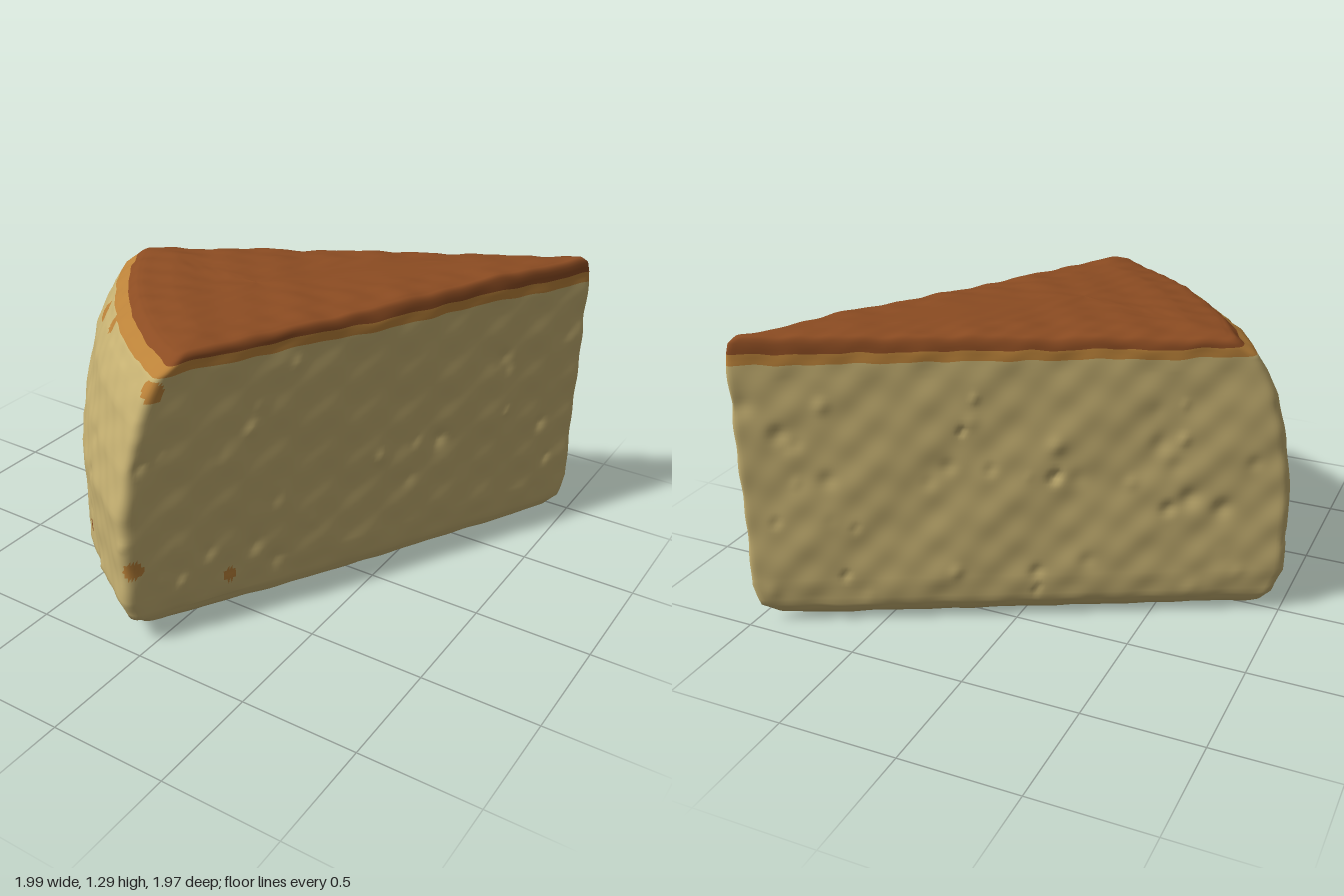
import * as THREE from 'three';

const COLS = 420;
const TIP = new THREE.Vector2(1.0, -1.0);
const LEFT = new THREE.Vector2(-1.02, 0);
const FRONT = new THREE.Vector2(-0.07, 0.99);
const CENTRE = new THREE.Vector2(-0.07, 0.05);

// Rounded wedge in plan (x, z): curved outer crust, two straight cut sides
function wedgeOutline() {
  const bulge = new THREE.Vector2(-0.69, 0.62);
  const near = (a, b, d) => a.clone().add(b.clone().sub(a).setLength(d));
  const path = new THREE.Path();
  const line = p => path.lineTo(p.x, p.y);
  const curve = (c, p) => path.quadraticCurveTo(c.x, c.y, p.x, p.y);
  const start = near(LEFT, bulge, 0.05);
  path.moveTo(start.x, start.y);
  curve(bulge, near(FRONT, bulge, 0.05));
  curve(FRONT, near(FRONT, TIP, 0.05));
  line(near(TIP, FRONT, 0.06));
  curve(TIP, near(TIP, LEFT, 0.06));
  line(near(LEFT, TIP, 0.05));
  curve(LEFT, start);
  return path.getSpacedPoints(COLS).slice(0, COLS);
}

// Profile keys: height, crust lean towards the tip, shrink to the centre, steps to next key
const PROFILE = [
  [0.015, 0.03, 1.0, 16], [0.022, 0.03, 0.3, 8], [0.03, 0.03, 0.13, 3], [0.055, 0.03, 0.065, 3],
  [0.1, 0.025, 0.02, 4], [0.2, 0, 0, 20], [0.6, 0, 0, 10], [0.8, 0.03, 0, 10], [1.0, 0.08, 0, 5],
  [1.1, 0.125, 0, 5], [1.175, 0.165, 0, 3], [1.215, 0.22, 0.003, 2], [1.24, 0.235, 0.012, 2],
  [1.257, 0.24, 0.035, 3], [1.265, 0.24, 0.1, 6], [1.275, 0.24, 0.35, 8], [1.28, 0.24, 1.0, 0],
];

function profileRows() {
  const rows = [];
  PROFILE.forEach((key, k) => {
    const next = PROFILE[k + 1];
    for (let i = 0; i < Math.max(key[3], 1); i++) {
      const t = next ? i / key[3] : 0;
      rows.push([0, 1, 2].map(j => (next ? THREE.MathUtils.lerp(key[j], next[j], t) : key[j])));
    }
  });
  return rows;
}

function seeded(seed) {
  return () => (seed = (seed * 16807) % 2147483647) / 2147483647;
}

// Soft lumpy variation
const lumps = (x, y, z) =>
  0.4 * Math.sin(7 * x + 5 * y + 2) * Math.sin(8 * z - 6 * y) +
  0.35 * Math.sin(17 * x - 13 * y) * Math.sin(15 * z + 19 * y + 1) +
  0.25 * Math.sin(31 * y + 23 * x - 11 * z) * Math.sin(29 * z + 27 * x);

// Baked spots and drips: x, y, z, radius, part
const SPOTS = [
  [-0.5, 0.28, 0.67, 0.032, 'top'],
  [-0.68, 1.1, 0.3, 0.045, 'rim'],
  [-0.49, 1.14, 0.47, 0.04, 'rim'],
  [0.0, 1.12, 0.84, 0.045, 'rim'],
  [-0.05, 0.37, 0.95, 0.042, 'rim'],
  [0.15, 0.22, 0.58, 0.03, 'rim'],
  [-0.16, 0.03, 0.68, 0.035, 'rim'],
];

export function createModel() {
  const outline = wedgeOutline();
  const rows = profileRows();
  const normals = outline.map((p, i) => {
    const a = outline[(i + COLS - 1) % COLS], b = outline[(i + 1) % COLS];
    return new THREE.Vector2(-(b.y - a.y), b.x - a.x).normalize();
  });

  // Small dents and crumbs on the walls
  const rand = seeded(71);
  const dents = Array.from({ length: 90 }, () => {
    const p = outline[Math.floor(rand() * COLS)];
    return { x: p.x, y: 0.12 + rand() * 1.0, z: p.y, r: 0.02 + rand() * 0.04, d: (rand() - 0.6) * 0.025 };
  });

  // Stack the wedge sections from the underside to the middle of the top
  const pos = [];
  rows.forEach(([y, lean, shrink]) => {
    const wall = THREE.MathUtils.smoothstep(y, 0.03, 0.15) * (1 - THREE.MathUtils.smoothstep(y, 1.2, 1.25));
    outline.forEach((p, i) => {
      const q = p.clone().sub(TIP).multiplyScalar(1 - lean / 2.2).add(TIP).lerp(CENTRE, shrink);
      let push = 0.009 * lumps(q.x, y, q.y);
      for (const d of dents) {
        const s = ((q.x - d.x) ** 2 + (y - d.y) ** 2 + (q.y - d.z) ** 2) / (d.r * d.r);
        if (s < 4) push += d.d * Math.exp(-2 * s);
      }
      q.addScaledVector(normals[i], -push * wall * -1);
      let h = y;
      if (y > 1.13) {
        h += 0.012 * lumps(q.x * 1.3, 0.4, q.y * 1.3);
        h += 0.016 * (q.x - q.y) * THREE.MathUtils.smoothstep(y, 1.2, 1.26);
      }
      if (y < 0.12) h += 0.04 * Math.max(0, q.y) + 0.008 * lumps(q.x, 0.2, q.y);
      pos.push(q.x, Math.max(0, h), q.y);
    });
  });

  // Sort the faces into parts
  const faces = { body: [], rim: [], top: [] };
  const at = (v, k) => pos[v * 3 + k];
  const addFace = (part, ...v) => {
    const c = [0, 1, 2].map(k => (at(v[0], k) + at(v[1], k) + at(v[2], k)) / 3);
    if (part === 'body') {
      const spot = SPOTS.find(s => Math.hypot(c[0] - s[0], c[1] - s[1], c[2] - s[2]) < s[3]);
      if (spot) part = spot[4];
    }
    faces[part].push(...v);
  };
  for (let r = 0; r < rows.length - 1; r++) {
    const y = rows[r][0] + 1e-6;
    const part = y > 1.215 ? 'top' : y > 1.175 ? 'rim' : 'body';
    for (let i = 0; i < COLS; i++) {
      const j = (i + 1) % COLS;
      const a = r * COLS + i, b = r * COLS + j, c = b + COLS, d = a + COLS;
      if (r > 0) addFace(part, a, b, c);
      if (r < rows.length - 2) addFace(part, a, c, d);
      else addFace(part, a, b, c);
    }
  }

  // Smooth normals across the whole slice, shared by every part
  const whole = new THREE.BufferGeometry();
  whole.setAttribute('position', new THREE.Float32BufferAttribute(pos, 3));
  whole.setIndex([...faces.body, ...faces.rim, ...faces.top]);
  whole.computeVertexNormals();

  const group = new THREE.Group();
  group.name = 'cakeSlice';
  const addPart = (name, index, colourName, color) => {
    const geometry = new THREE.BufferGeometry();
    geometry.setAttribute('position', whole.getAttribute('position'));
    geometry.setAttribute('normal', whole.getAttribute('normal'));
    geometry.setIndex(index);
    const material = new THREE.MeshStandardMaterial({ color });
    material.name = colourName;
    const mesh = new THREE.Mesh(geometry, material);
    mesh.name = name;
    group.add(mesh);
  };
  addPart('creamyFilling', faces.body, 'cream', 0xc6b172);
  addPart('goldenRim', faces.rim, 'goldenOrange', 0xbb8239);
  addPart('bakedTop', faces.top, 'bakedBrown', 0x8c4c22);
  return group;
}
